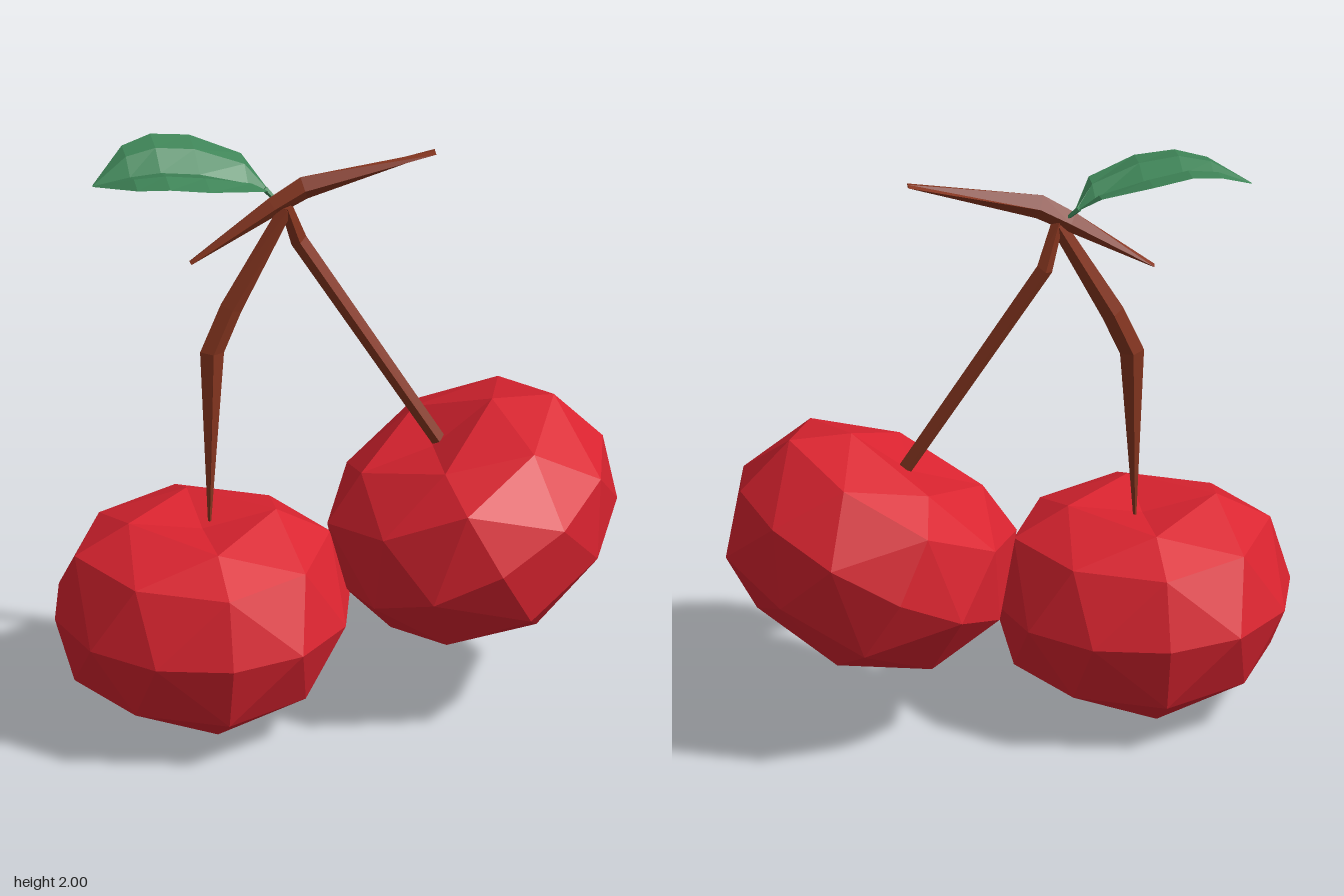
import * as THREE from 'three';

const red = new THREE.MeshStandardMaterial({ color: 0xd9232f });
red.name = 'cherryRed';
const brown = new THREE.MeshStandardMaterial({ color: 0x85351f });
brown.name = 'stalkBrown';
const green = new THREE.MeshStandardMaterial({ color: 0x3f8558, side: THREE.DoubleSide });
green.name = 'leafGreen';

// Joins equal-length cross-sections into a flat-faceted surface
function loft(rows, closed) {
  const out = [];
  const n = rows[0].length;
  for (let i = 0; i < rows.length - 1; i++) {
    for (let j = 0; j < (closed ? n : n - 1); j++) {
      const k = (j + 1) % n;
      const a = rows[i][j], b = rows[i][k], c = rows[i + 1][k], d = rows[i + 1][j];
      for (const p of [a, b, c, a, c, d]) out.push(p.x, p.y, p.z);
    }
  }
  if (closed) {
    const s = rows[0], e = rows[rows.length - 1];
    for (let j = 1; j < n - 1; j++) {
      for (const p of [s[0], s[j + 1], s[j], e[0], e[j], e[j + 1]]) out.push(p.x, p.y, p.z);
    }
  }
  const g = new THREE.BufferGeometry();
  g.setAttribute('position', new THREE.Float32BufferAttribute(out, 3));
  g.computeVertexNormals();
  return g;
}

// Four-sided branch; each node is [x, y, z, half width, half depth]
function branch(name, nodes, material) {
  const pts = nodes.map((n) => new THREE.Vector3(n[0], n[1], n[2]));
  const rows = nodes.map((n, i) => {
    const t = pts[Math.min(i + 1, pts.length - 1)].clone().sub(pts[Math.max(i - 1, 0)]).normalize();
    const side = new THREE.Vector3(0, 0, 1).addScaledVector(t, -t.z).normalize();
    const up = t.clone().cross(side);
    return [0, 1, 2, 3].map((k) => pts[i].clone()
      .addScaledVector(side, [1, 0, -1, 0][k] * n[4])
      .addScaledVector(up, [0, 1, 0, -1][k] * n[3]));
  });
  const mesh = new THREE.Mesh(loft(rows, true), material);
  mesh.name = name;
  return mesh;
}

// Faceted fruit: squashed octahedral ball with a dimple on top
function cherryGeometry() {
  const g = new THREE.OctahedronGeometry(1, 2);
  const p = g.attributes.position;
  const even = (v) => {
    const a = Math.abs(v);
    return Math.sign(v) * (a > 0.88 && a < 0.91 ? 0.866 : a > 0.43 && a < 0.46 ? 0.5 : a);
  };
  for (let i = 0; i < p.count; i++) {
    const x = even(p.getX(i)), y = even(p.getY(i)), z = even(p.getZ(i));
    const a = Math.abs(y);
    let h = 0;
    if (a > 0.95) h = y > 0 ? 0.28 : -0.395;
    else if (a > 0.8) h = y > 0 ? (Math.abs(x) > 0.1 ? 0.325 : 0.305) : -0.35;
    else if (a > 0.1) h = y > 0 ? 0.225 : -0.23;
    p.setXYZ(i, x * 0.49, h, z * 0.49);
  }
  g.computeVertexNormals();
  return g;
}

// Leaf folded along its vein; rows are [x, veinY, veinZ, backY, backZ, frontY, frontZ]
function leafGeometry() {
  const rows = [
    [-0.78, 1.90, -0.14, 1.90, -0.145, 1.90, -0.135],
    [-0.66, 1.93, -0.12, 1.98, -0.25, 1.94, 0.0],
    [-0.56, 1.94, -0.11, 2.0, -0.275, 1.955, 0.045],
    [-0.43, 1.92, -0.11, 1.98, -0.28, 1.94, 0.06],
    [-0.27, 1.87, -0.11, 1.925, -0.22, 1.90, 0.01],
    [-0.2, 1.83, -0.11, 1.835, -0.115, 1.835, -0.105],
  ].map(([x, vy, vz, by, bz, fy, fz]) => {
    const lift = Math.min(0.02, (fz - bz) * 0.07);
    return [
      new THREE.Vector3(x, by, bz),
      new THREE.Vector3(x, (vy + by) / 2 + lift, (vz + bz) / 2),
      new THREE.Vector3(x, vy, vz),
      new THREE.Vector3(x, (vy + fy) / 2 + lift, (vz + fz) / 2),
      new THREE.Vector3(x, fy, fz),
    ].reverse();
  });
  return loft(rows, false);
}

export function createModel() {
  const model = new THREE.Group();
  model.name = 'cherryPair';

  // Fruits
  const fruit = cherryGeometry();
  const rightCherry = new THREE.Mesh(fruit, red);
  rightCherry.name = 'rightCherry';
  rightCherry.position.set(-0.445, 0.4, 0);
  const leftCherry = new THREE.Mesh(fruit, red);
  leftCherry.name = 'leftCherry';
  leftCherry.position.set(0.45, 0.65, 0);
  leftCherry.rotation.z = 0.48;
  model.add(rightCherry, leftCherry);

  // Stalks and the twig they hang from
  model.add(branch('rightStalk', [
    [-0.415, 0.66, -0.03, 0.004, 0.004],
    [-0.40, 1.29, -0.06, 0.04, 0.025],
    [-0.335, 1.44, -0.07, 0.038, 0.025],
    [-0.15, 1.78, -0.08, 0.025, 0.02],
  ], brown));
  model.add(branch('leftStalk', [
    [0.35, 0.9, -0.01, 0.024, 0.02],
    [-0.1, 1.64, -0.115, 0.028, 0.025],
    [-0.15, 1.79, -0.08, 0.02, 0.02],
  ], brown));
  model.add(branch('twig', [
    [-0.465, 1.61, -0.09, 0.006, 0.015],
    [-0.19, 1.79, -0.085, 0.035, 0.025],
    [-0.09, 1.85, -0.08, 0.042, 0.028],
    [0.34, 1.95, -0.05, 0.004, 0.02],
  ], brown));

  // Leaf and its short stem
  const leaf = new THREE.Mesh(leafGeometry(), green);
  leaf.name = 'leaf';
  model.add(leaf);
  model.add(branch('leafStem', [
    [-0.165, 1.79, -0.085, 0.006, 0.006],
    [-0.215, 1.845, -0.11, 0.01, 0.012],
  ], green));

  return model;
}
